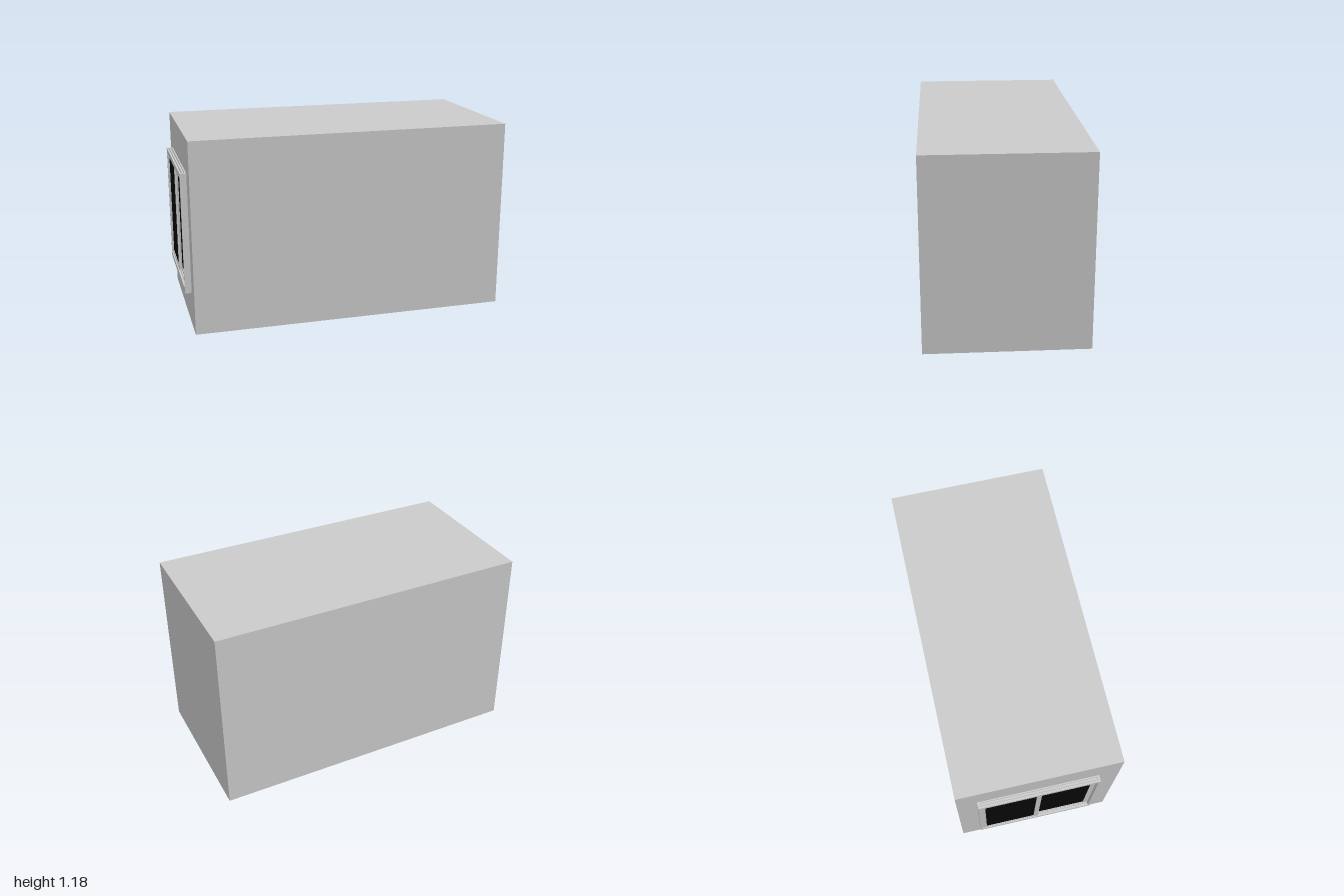
import * as THREE from 'three';

export function createModel() {
  const group = new THREE.Group();
  const grey = new THREE.MeshStandardMaterial({ color: 0xcccccc, flatShading: true });
  const black = new THREE.MeshStandardMaterial({ color: 0x080808 });

  // Box given by its lowest and highest corners
  function block(name, [x0, y0, z0], [x1, y1, z1], material = grey, parent = group) {
    const mesh = new THREE.Mesh(new THREE.BoxGeometry(x1 - x0, y1 - y0, z1 - z0), material);
    mesh.position.set((x0 + x1) / 2, (y0 + y1) / 2, (z0 + z1) / 2);
    mesh.name = name;
    parent.add(mesh);
  }

  const wall = -0.96, out = -1;
  const y0 = 0.22, y1 = 0.965, z0 = -0.37, z1 = 0.365;
  const jamb = 0.012, railHeight = 0.03;

  // Room volume
  block('building', [wall, 0, -0.49], [1, 1.18, 0.49]);

  // Side jambs of the window frame
  const frame = new THREE.Group();
  frame.name = 'windowFrame';
  group.add(frame);
  block('nearJamb', [out, y0, z0], [wall, y1, z0 + jamb], grey, frame);
  block('farJamb', [out, y0, z1 - jamb], [wall, y1, z1], grey, frame);

  // Head and sill rails: a track with three ridges and two grooves
  const track = new THREE.Shape();
  track.moveTo(out, 0);
  track.lineTo(wall, 0);
  for (const right of [wall, -0.976, -0.992]) {
    const left = right - 0.008;
    track.lineTo(right, railHeight);
    track.lineTo(left, railHeight);
    if (left > out + 0.001) {
      track.lineTo(left, 0.018);
      track.lineTo(left - 0.008, 0.018);
    }
  }
  const trackGeometry = new THREE.ExtrudeGeometry(track, { depth: z1 - z0 - 2 * jamb, bevelEnabled: false });
  for (const [name, y] of [['sillTrack', y0], ['headTrack', y1 - railHeight]]) {
    const rail = new THREE.Mesh(trackGeometry, grey);
    rail.name = name;
    rail.position.set(0, y, z0 + jamb);
    frame.add(rail);
  }

  // Two sliding sashes, overlapping at the middle, each with dark glass
  function sash(name, x, za, zb) {
    const parent = new THREE.Group();
    parent.name = name;
    group.add(parent);
    const a = x - 0.006, b = x + 0.006, w = 0.03;
    const bottom = y0 + 0.018, top = y1 - railHeight;
    block('stile', [a, bottom, za], [b, top, za + w], grey, parent);
    block('stile', [a, bottom, zb - w], [b, top, zb], grey, parent);
    block('bottomRail', [a, bottom, za + w], [b, bottom + w, zb - w], grey, parent);
    block('topRail', [a, top - 0.02, za + w], [b, top, zb - w], grey, parent);
    block('glass', [x - 0.002, bottom + w, za + w], [x + 0.002, top - 0.02, zb - w], black, parent);
  }
  sash('outerSash', -0.987, z0 + jamb, 0.015);
  sash('innerSash', -0.971, -0.02, z1 - jamb);

  return group;
}
